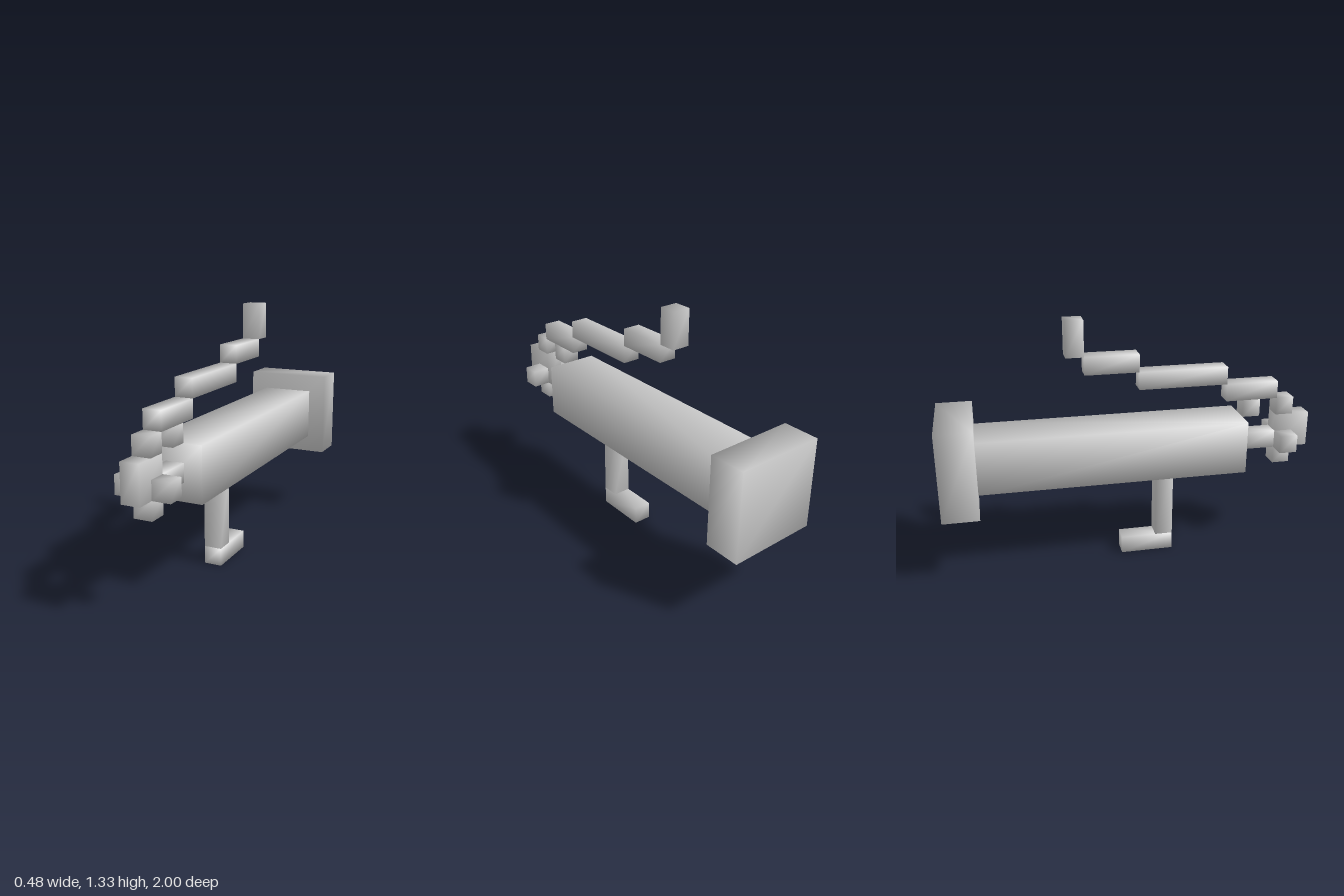
import * as THREE from 'three';
import { mergeVertices } from 'three/addons/utils/BufferGeometryUtils.js';

const U = 2 / 21; // grid unit: the model is 21 units long

export function createModel() {
  const model = new THREE.Group();
  const material = new THREE.MeshStandardMaterial({ color: 0xcccccc });

  // Block with shared corners, so its shading is smooth.
  // x: centre, w: width, y0..y1: heights, d0..d1: distances back from the front end (all in units)
  function block(name, x, w, y0, y1, d0, d1) {
    const box = new THREE.BoxGeometry(w * U, (y1 - y0) * U, (d1 - d0) * U);
    box.deleteAttribute('normal');
    box.deleteAttribute('uv');
    const geometry = mergeVertices(box);
    geometry.computeVertexNormals();
    const mesh = new THREE.Mesh(geometry, material);
    mesh.name = name;
    mesh.position.set(x * U, ((y0 + y1) / 2) * U, 1 - ((d0 + d1) / 2) * U);
    model.add(mesh);
  }

  // Main body and rear plate
  block('barrel', 0, 3, 5, 8, 4, 19);
  block('rearPlate', 0, 5, 4, 9, 19, 21);

  // Nose cluster in front of the barrel
  block('nose', 0, 1, 6, 8, 0, 2);
  block('noseNeck', 0, 1, 6, 7, 2, 4);
  block('noseTop', 0, 1, 8, 9, 1, 2);
  block('noseBottom', 0, 1, 5, 6, 1, 2);
  for (const side of [-1, 1]) block(side > 0 ? 'noseLeft' : 'noseRight', side, 1, 6, 7, 1, 2);

  // Stepped lever rising towards the back, with its support post
  block('leverPost', 0, 1, 8, 9, 3, 4);
  const steps = [[9, 10, 2, 5], [10, 11, 5, 10], [11, 12, 10, 13]];
  steps.forEach((s, i) => block('leverStep' + (i + 1), 0, 1, ...s));
  block('leverHandle', 0, 1, 12, 14, 13, 14);

  // Leg and foot under the barrel
  block('leg', 0, 1, 1, 5, 8, 9);
  block('foot', 0, 1, 0, 1, 8, 11);

  return model;
}
